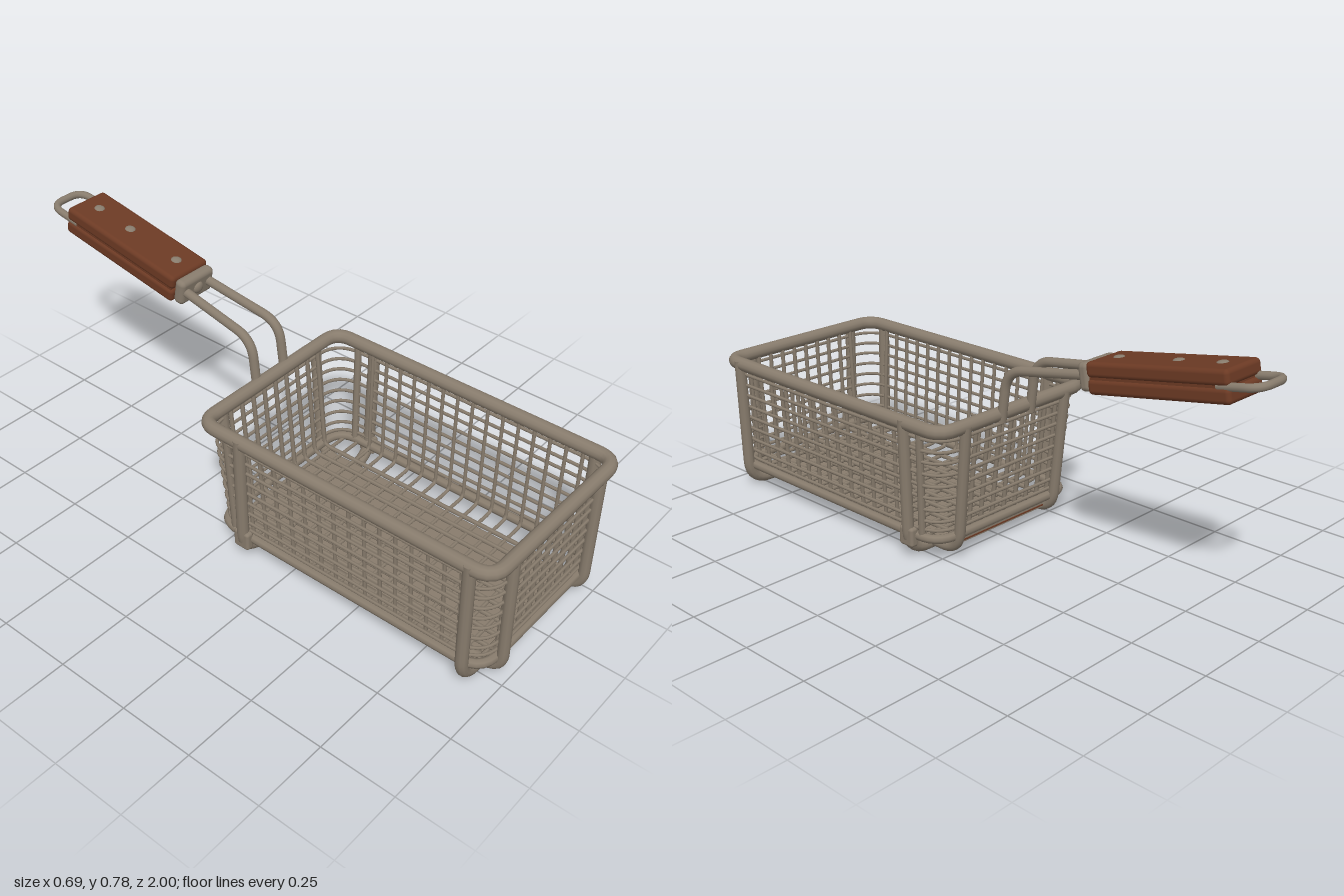
import * as THREE from 'three';
import { RoundedBoxGeometry } from 'three/addons/geometries/RoundedBoxGeometry.js';

const metal = new THREE.MeshStandardMaterial({ color: 0x887c6d });
metal.name = 'warm steel';
const wood = new THREE.MeshStandardMaterial({ color: 0x6c3a24 });
wood.name = 'brown wood';

const V = (x, y, z) => new THREE.Vector3(x, y, z);
const CX = -0.006; // basket centre line

// Straight runs joined by rounded corners
function roundedPath(points, radius, closed = false) {
  const path = new THREE.CurvePath();
  const n = points.length;
  const toward = (a, b) => a.clone().add(b.clone().sub(a).setLength(Math.min(radius, a.distanceTo(b) * 0.48)));
  let last = closed ? toward(points[0], points[1]) : points[0];
  for (let i = 1; i < (closed ? n + 1 : n - 1); i++) {
    const p = points[i % n];
    const a = toward(p, points[i - 1]);
    const b = toward(p, points[(i + 1) % n]);
    path.add(new THREE.LineCurve3(last, a));
    path.add(new THREE.QuadraticBezierCurve3(a, p, b));
    last = b;
  }
  if (!closed) path.add(new THREE.LineCurve3(last, points[n - 1]));
  return path;
}

function add(parent, name, geometry, material = metal) {
  const mesh = new THREE.Mesh(geometry, material);
  mesh.name = name;
  parent.add(mesh);
  return mesh;
}

function wire(parent, name, points, radius, { bend = 0.05, closed = false, segments = 60, sides = 8 } = {}) {
  const path = roundedPath(points, bend, closed);
  return add(parent, name, new THREE.TubeGeometry(path, segments, radius, sides, closed));
}

// Straight rod with closed ends
function rod(parent, name, a, b, radius, sides = 8) {
  const mesh = add(parent, name, new THREE.CylinderGeometry(radius, radius, a.distanceTo(b), sides));
  mesh.position.copy(a).lerp(b, 0.5);
  mesh.quaternion.setFromUnitVectors(V(0, 1, 0), b.clone().sub(a).normalize());
  return mesh;
}

// The walls lean outward from the floor to the rim
function wall(y) {
  const t = (y - 0.08) / 0.37;
  return {
    half: THREE.MathUtils.lerp(0.302, 0.322, t),
    back: THREE.MathUtils.lerp(-0.027, -0.067, t),
    front: THREE.MathUtils.lerp(0.96, 0.973, t),
  };
}

function ring(parent, name, y, radius, bend, segments, sides) {
  const w = wall(y);
  wire(parent, name, [
    V(CX - w.half, y, w.back), V(CX + w.half, y, w.back),
    V(CX + w.half, y, w.front), V(CX - w.half, y, w.front),
  ], radius, { bend, closed: true, segments, sides });
}

function buildBasket() {
  const basket = new THREE.Group();
  basket.name = 'basket';

  // Rim, floor ring and horizontal wall wires
  ring(basket, 'rim', 0.452, 0.0225, 0.06, 180, 12);
  ring(basket, 'floorRing', 0.08, 0.015, 0.08, 160, 8);
  for (const y of [0.107, 0.138, 0.178, 0.22, 0.26, 0.3, 0.34, 0.378, 0.417])
    ring(basket, 'wallRing', y, 0.0055, 0.1, 160, 6);

  // Mesh wires running down one wall, under the floor and up the other
  const top = wall(0.44), low = wall(0.08), inset = 0.011;
  for (let i = -4; i <= 4; i++) {
    const x = CX + i * 0.052;
    wire(basket, 'lengthwiseMesh', [
      V(x, 0.44, top.back + inset), V(x, 0.078, low.back + inset),
      V(x, 0.078, low.front - inset), V(x, 0.44, top.front - inset),
    ], 0.0075, { bend: 0.02, segments: 80, sides: 6 });
  }
  for (let i = 0; i < 15; i++) {
    const zLow = 0.11 + i * 0.0545, zTop = 0.095 + i * 0.0555;
    wire(basket, 'crosswiseMesh', [
      V(CX - top.half + inset, 0.44, zTop), V(CX - low.half + inset, 0.072, zLow),
      V(CX + low.half - inset, 0.072, zLow), V(CX + top.half - inset, 0.44, zTop),
    ], 0.0065, { bend: 0.02, segments: 60, sides: 6 });
  }
  for (const z of [0.005, 0.055, 0.925])
    rod(basket, 'floorMesh', V(CX - 0.295, 0.072, z), V(CX + 0.295, 0.072, z), 0.0065, 6);

  // Solid floor tray with a thin wooden core
  const tray = [[0.43, 0.944, 0.047, 0.008, metal], [0.436, 0.95, 0.041, 0.004, wood], [0.43, 0.944, 0.036, 0.006, metal]];
  for (const [w, d, y, h, material] of tray)
    add(basket, 'floorTray', new THREE.BoxGeometry(w, h, d), material).position.set(CX + 0.004, y, 0.465);

  // Heavy frame bars, lengthwise and crosswise
  for (const s of [-1, 1]) {
    const x = CX + s * 0.218;
    wire(basket, 'lengthwiseFrame', [
      V(x + s * 0.006, 0.455, -0.077), V(x, 0.029, -0.035), V(x, 0.029, 0.978), V(x + s * 0.006, 0.455, 0.978),
    ], 0.018, { bend: 0.07, segments: 120, sides: 10 });
  }
  for (const z of [0.088, 0.905])
    wire(basket, 'crosswiseFrame', [
      V(CX - 0.327, 0.465, z), V(CX - 0.316, 0.02, z), V(CX + 0.316, 0.02, z), V(CX + 0.327, 0.465, z),
    ], 0.0195, { bend: 0.08, segments: 90, sides: 10 });

  // Slanted corner stays and the small foot clips
  for (const s of [-1, 1]) {
    rod(basket, 'cornerStay', V(CX + s * 0.3, 0.07, 0.042), V(CX + s * 0.318, 0.44, 0.028), 0.012);
    add(basket, 'footClip', new RoundedBoxGeometry(0.03, 0.065, 0.06, 2, 0.01)).position.set(CX + s * 0.316, 0.075, 0.088);
  }
  return basket;
}

function buildHandle() {
  const handle = new THREE.Group();
  handle.name = 'handle';

  // Twin stems rising from the rim and bending back
  for (const s of [-1, 1])
    wire(handle, 'stem', [
      V(s * 0.065, 0.43, -0.078), V(s * 0.064, 0.6, -0.1), V(s * 0.048, 0.655, -0.42),
    ], 0.0155, { bend: 0.065, segments: 50, sides: 12 });

  // Grip assembly: local +z points to the basket, tilted up toward the back
  const grip = new THREE.Group();
  grip.name = 'grip';
  grip.position.set(0, 0.697, -0.662);
  grip.rotation.x = 0.18;
  handle.add(grip);

  add(grip, 'ferrule', new RoundedBoxGeometry(0.146, 0.088, 0.04, 3, 0.016)).position.set(0, 0, 0.263);
  const knob = add(grip, 'frontRivet', new THREE.SphereGeometry(0.021, 16, 10));
  knob.position.set(0, 0, 0.282);
  knob.scale.z = 0.6;

  // Two wooden scales over a thin core
  for (const s of [-1, 1])
    add(grip, 'woodScale', new RoundedBoxGeometry(0.162, 0.047, 0.488, 3, 0.014), wood).position.set(0, s * 0.025, 0);
  add(grip, 'woodCore', new THREE.BoxGeometry(0.15, 0.02, 0.47), wood);

  // Rivets through both faces
  for (const z of [0.18, -0.03, -0.175])
    for (const s of [-1, 1]) {
      const rivet = add(grip, 'rivet', new THREE.SphereGeometry(0.018, 16, 8));
      rivet.position.set(0, s * 0.047, z);
      rivet.scale.y = 0.4;
    }

  // Hanging loop
  wire(grip, 'hangingLoop', [
    V(-0.066, 0, -0.2), V(-0.066, 0, -0.332), V(0.066, 0, -0.332), V(0.066, 0, -0.2),
  ], 0.0125, { bend: 0.05, segments: 60, sides: 10 });
  return handle;
}

export function createModel() {
  const model = new THREE.Group();
  model.name = 'fryingBasket';
  model.add(buildBasket(), buildHandle());
  return model;
}
